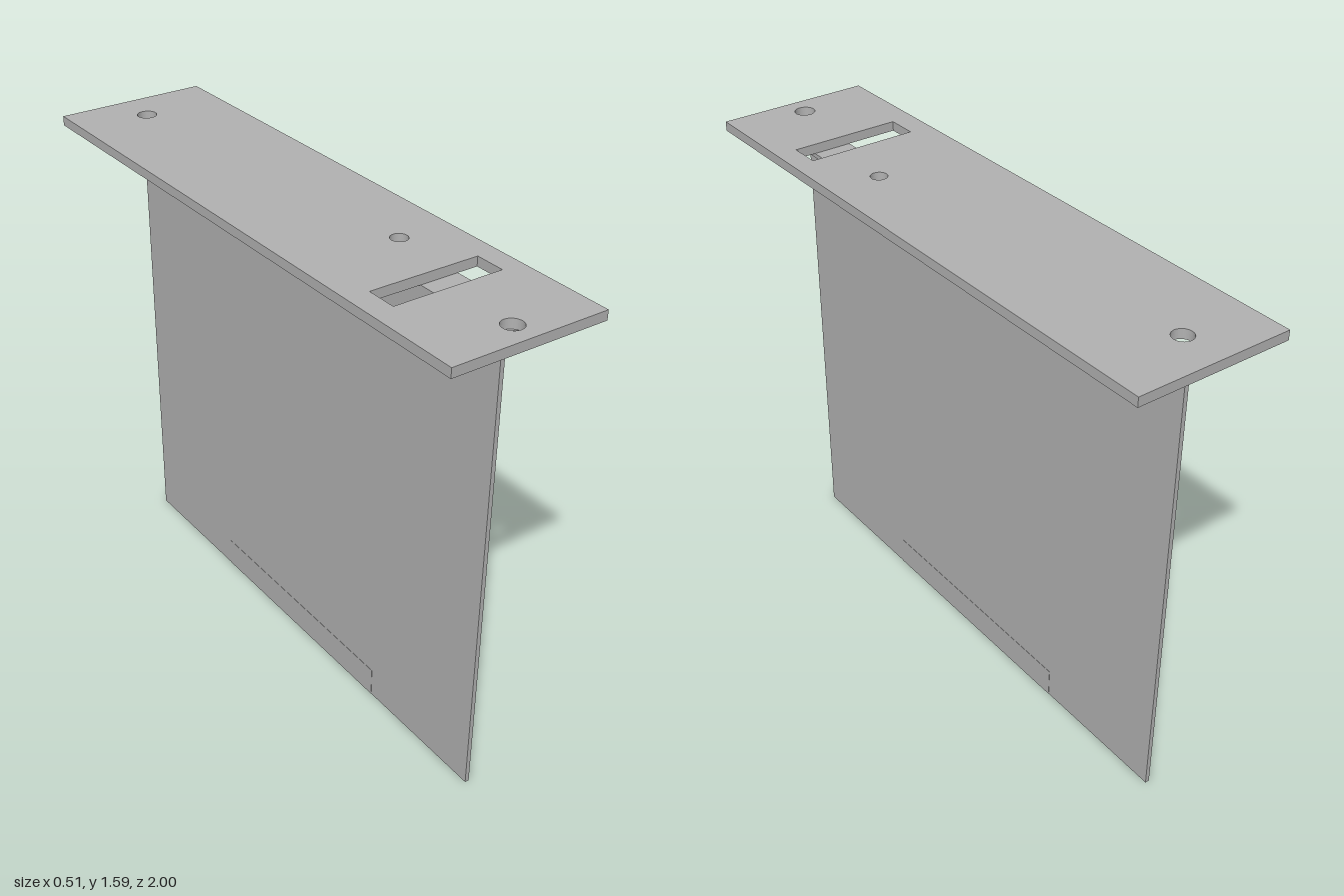
import * as THREE from 'three';

export function createModel() {
  const group = new THREE.Group();
  const grey = new THREE.MeshStandardMaterial({ color: 0xb2b2b2 });

  const add = (name, geometry) => {
    const mesh = new THREE.Mesh(geometry, grey);
    mesh.name = name;
    group.add(mesh);
    return mesh;
  };

  // Rectangle from x0..x1 and y0..y1, as a shape or a hole
  const rect = (Type, x0, x1, y0, y1) => new Type([
    [x0, y0], [x1, y0], [x1, y1], [x0, y1],
  ].map(([x, y]) => new THREE.Vector2(x, y)));

  // Top plate with three round holes and a slot (shape y is -z)
  const plateBottom = 1.561, plateTop = 1.592;
  const plate = rect(THREE.Shape, -0.256, 0.256, -1, 1);
  for (const [x, z, r] of [[-0.021, -0.857, 0.032], [0.082, 0.365, 0.027], [0.005, 0.921, 0.033]]) {
    plate.holes.push(new THREE.Path().absarc(x, -z, r, 0, Math.PI * 2, true));
  }
  plate.holes.push(rect(THREE.Path, -0.18, 0.185, -0.677, -0.577));
  const plateGeometry = new THREE.ExtrudeGeometry(plate, {
    depth: plateTop - plateBottom, bevelEnabled: false, curveSegments: 24,
  });
  plateGeometry.rotateX(-Math.PI / 2).translate(0, plateBottom, 0);
  add('topPlate', plateGeometry);

  // Folded sheet: tall web with a narrow flange under the plate
  const left = -0.01, right = 0.004, flangeEdge = 0.118, flangeBottom = 1.548;
  const profile = new THREE.Shape([
    [left, 0], [right, 0], [right, flangeBottom], [flangeEdge, flangeBottom],
    [flangeEdge, plateBottom], [left, plateBottom],
  ].map(([x, y]) => new THREE.Vector2(x, y)));
  const sheet = new THREE.ExtrudeGeometry(profile, { depth: 1.81, bevelEnabled: false });
  sheet.translate(0, 0, -0.905);
  add('foldedSheet', sheet);

  // Slightly raised strip at the lower edge, on both faces
  const strip = add('lowerStrip', new THREE.BoxGeometry(right - left + 0.002, 0.1, 0.855));
  strip.position.set((left + right) / 2, 0.05, 0);

  return group;
}
